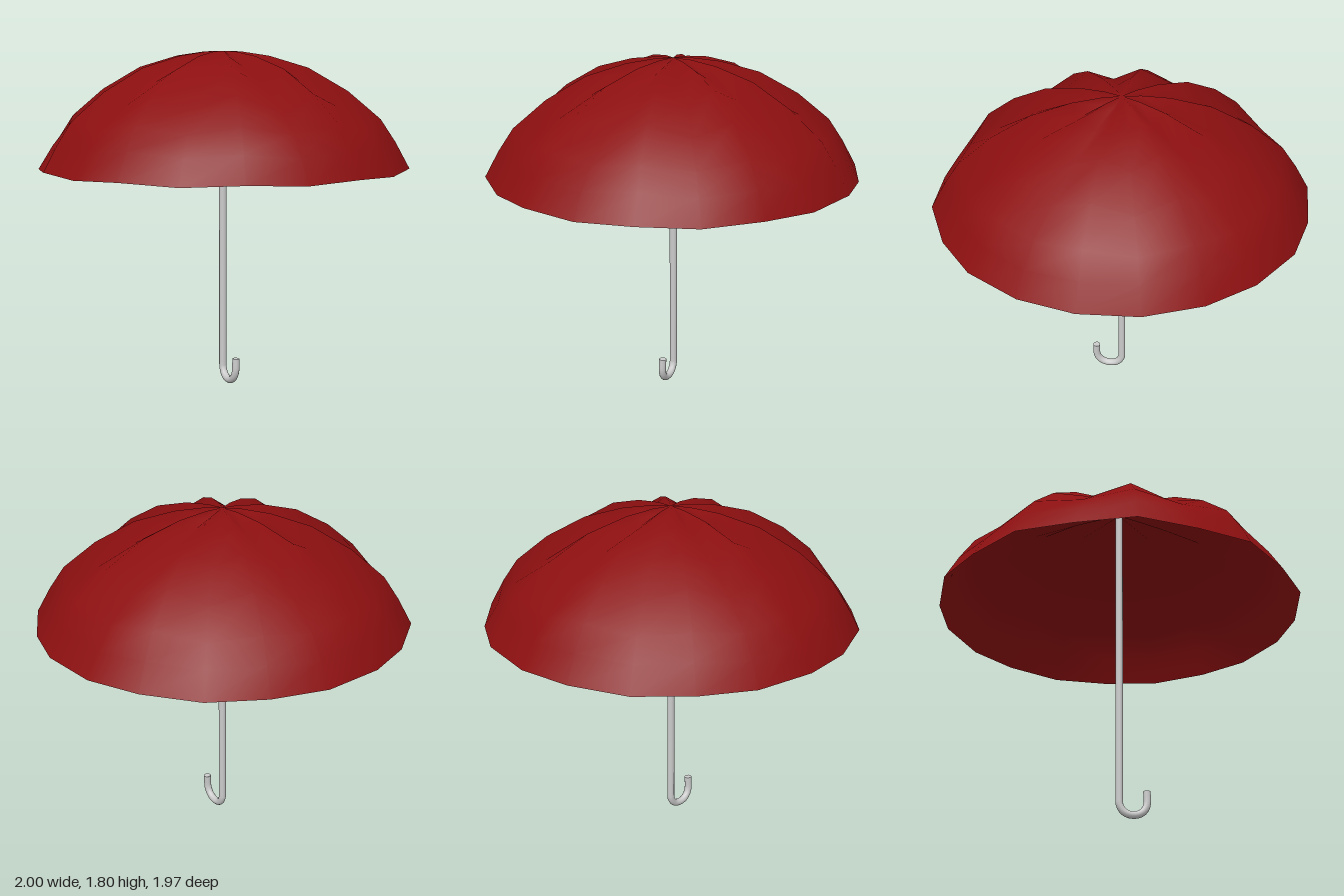
import * as THREE from 'three';

const RIBS = 10;

// Rib (crest) and panel-middle (valley) profiles as [radius, height], from the crown to the hem
const RIB = [[0.1, 1.8], [0.25, 1.778], [0.46, 1.716], [0.67, 1.596], [0.845, 1.45], [0.925, 1.33], [1, 1.193]];
const VALLEY = [[0.1, 1.775], [0.25, 1.727], [0.465, 1.647], [0.665, 1.527], [0.825, 1.41], [0.91, 1.305], [0.987, 1.18]];

// Pleated dome: alternate the two profiles around the circle
function canopyGeometry() {
  const sides = RIBS * 2;
  const positions = [0, 1.803, 0];
  const index = [];
  for (let i = 0; i < sides; i++) {
    const a = (i / sides) * Math.PI * 2;
    for (const [r, y] of i % 2 ? VALLEY : RIB) {
      positions.push(r * Math.cos(a), y, r * Math.sin(a));
    }
  }
  const rings = RIB.length;
  for (let i = 0; i < sides; i++) {
    const a = 1 + i * rings;
    const b = 1 + ((i + 1) % sides) * rings;
    index.push(0, b, a);
    for (let j = 0; j < rings - 1; j++) {
      index.push(a + j, b + j, b + j + 1, a + j, b + j + 1, a + j + 1);
    }
  }
  const geometry = new THREE.BufferGeometry();
  geometry.setAttribute('position', new THREE.Float32BufferAttribute(positions, 3));
  geometry.setIndex(index);
  geometry.computeVertexNormals();
  return geometry;
}

export function createModel() {
  const model = new THREE.Group();
  model.name = 'umbrella';
  const red = new THREE.MeshStandardMaterial({ color: 0x8c0f10, side: THREE.DoubleSide });
  const grey = new THREE.MeshStandardMaterial({ color: 0xcccccc });

  function add(name, geometry, material) {
    const mesh = new THREE.Mesh(geometry, material);
    mesh.name = name;
    model.add(mesh);
    return mesh;
  }

  add('canopy', canopyGeometry(), red);

  // Straight shaft from the hook up to the crown
  const radius = 0.02;
  const hookTop = 0.09;
  const shaftTop = 1.79;
  add('shaft', new THREE.CylinderGeometry(radius, radius, shaftTop - hookTop, 12), grey)
    .position.y = (shaftTop + hookTop) / 2;

  // Hooked handle curling forward, its tip leaning slightly to the side
  const path = new THREE.CatmullRomCurve3([
    [0, 0.1, 0], [0, 0.07, 0.002], [0.001, 0.038, 0.02], [0.002, 0.021, 0.05],
    [0.004, 0.021, 0.095], [0.007, 0.04, 0.127], [0.01, 0.075, 0.145], [0.013, 0.15, 0.146],
  ].map((p) => new THREE.Vector3(...p)));
  add('handle', new THREE.TubeGeometry(path, 20, radius, 12), grey);

  // Flat end of the handle
  const cap = add('handleEnd', new THREE.CircleGeometry(radius, 12), grey);
  cap.position.copy(path.getPoint(1));
  cap.quaternion.setFromUnitVectors(new THREE.Vector3(0, 0, 1), path.getTangent(1));

  return model;
}
